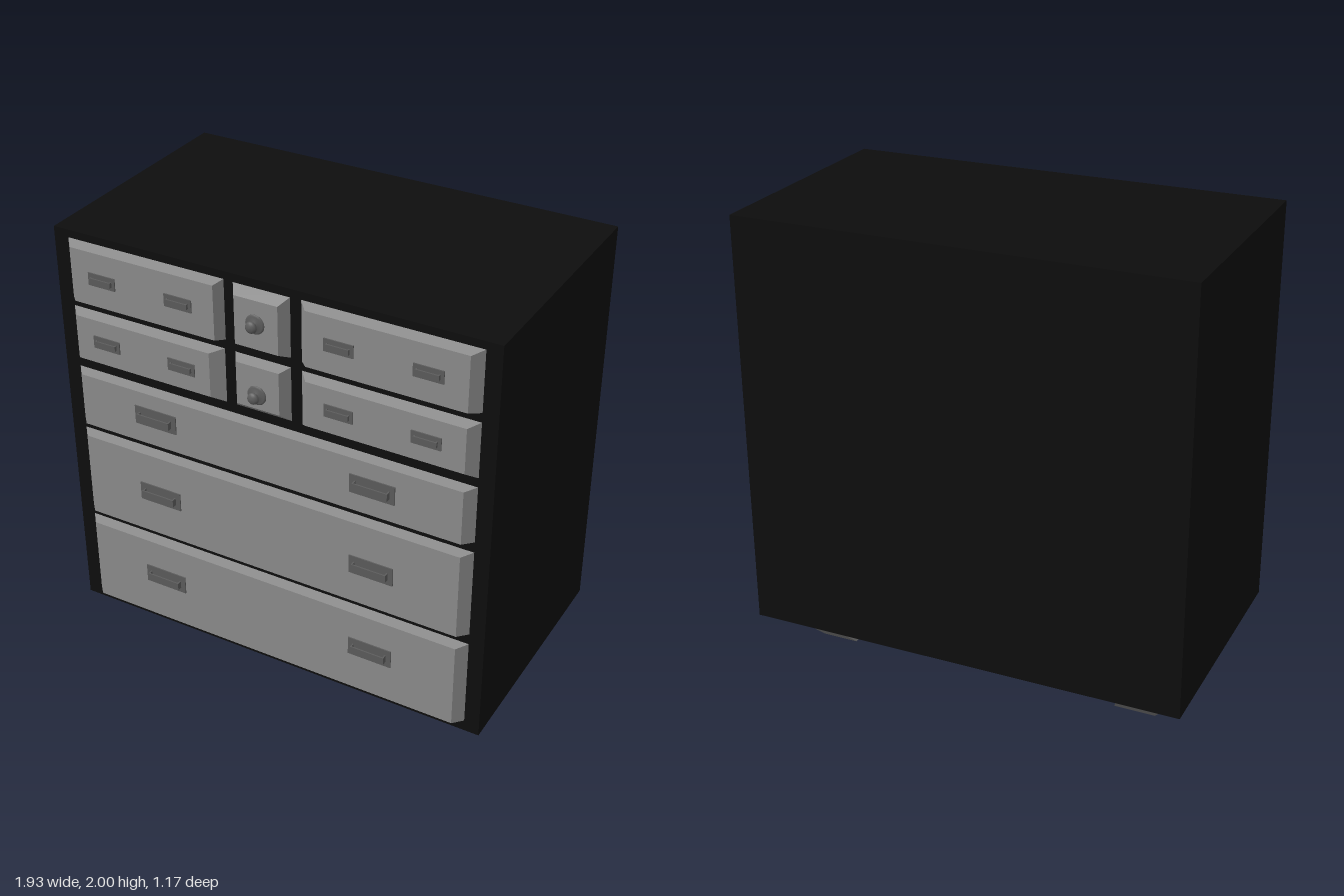
import * as THREE from 'three';

const BODY_FRONT = 0.495, DRAWER_FRONT = 0.542;
const paint = (color) => new THREE.MeshStandardMaterial({ color });
const bodyMat = paint(0x0d0d0d);
const drawerMat = paint(0x8c8c8c);
const metalMat = paint(0x5c5c5c);
const legMat = paint(0x747474);

function part(name, geometry, material, parent) {
  const mesh = new THREE.Mesh(geometry, material);
  mesh.name = name;
  parent.add(mesh);
  return mesh;
}

function box(x0, x1, y0, y1, z0, z1) {
  return new THREE.BoxGeometry(x1 - x0, y1 - y0, z1 - z0)
    .translate((x0 + x1) / 2, (y0 + y1) / 2, (z0 + z1) / 2);
}

// Six-sided block whose corners are placed by a rule on the signs of a unit box
function taperedBlock(rule) {
  const geometry = new THREE.BoxGeometry(1, 1, 1);
  const p = geometry.attributes.position;
  for (let i = 0; i < p.count; i++) {
    p.setXYZ(i, ...rule(p.getX(i) > 0 ? 1 : 0, p.getY(i) > 0 ? 1 : 0, p.getZ(i) > 0 ? 1 : 0));
  }
  geometry.computeVertexNormals();
  return geometry;
}

// Drawer front with bevelled rim; outer and inner are [x0, x1, y0, y1]
function addDrawer(group, name, outer, inner) {
  part(name, taperedBlock((x, y, z) => {
    const r = z ? inner : outer;
    return [r[x], r[2 + y], z ? DRAWER_FRONT : BODY_FRONT - 0.01];
  }), drawerMat, group);
}

// Thin back plate carrying a flat bar on two posts
function addPull(group, x, y, w, h, depth) {
  const pull = new THREE.Group();
  pull.name = 'drawerPull';
  pull.position.set(x, y, DRAWER_FRONT);
  const bw = w * 0.39, bh = h * 0.2, t = 0.006;
  part('pullPlate', box(-w / 2, w / 2, -h / 2, h / 2, -0.002, 0.005), metalMat, pull);
  part('pullBar', box(-bw, bw, -bh, bh, depth - t, depth), metalMat, pull);
  for (const s of [-1, 1]) {
    const c = s * (bw - t / 2);
    part('pullPost', box(c - t / 2, c + t / 2, -bh, bh, 0.003, depth - t), metalMat, pull);
  }
  group.add(pull);
}

// Round knob: base disc, narrow stem and rounded head
function addKnob(group, x, y) {
  const profile = [
    [0, -0.002], [0.041, -0.002], [0.041, 0.003], [0.034, 0.007], [0.012, 0.009],
    [0.009, 0.017], [0.02, 0.021], [0.025, 0.028], [0.022, 0.036], [0.012, 0.042], [0, 0.043],
  ].map(([r, h]) => new THREE.Vector2(r, h));
  const knob = part('knob', new THREE.LatheGeometry(profile, 20), metalMat, group);
  knob.rotation.x = Math.PI / 2;
  knob.position.set(x, y, DRAWER_FRONT);
}

// Splayed leg; foot and top are [x0, x1, z0, z1]
function addLeg(group, name, foot, top) {
  part(name, taperedBlock((x, y, z) => {
    const r = y ? top : foot;
    return [r[x], y ? 0.195 : 0, r[2 + z]];
  }), legMat, group);
}

export function createModel() {
  const group = new THREE.Group();
  group.name = 'chestOfDrawers';

  part('cabinet', box(-0.965, 0.965, 0.19, 2, -0.585, BODY_FRONT), bodyMat, group);

  // Two upper rows: wide, small square and wide drawers
  const upper = [
    { y: [1.705, 1.97], wide: [1.72, 1.955], small: [1.733, 1.94], right: -0.2, pull: 1.84, knob: 1.841 },
    { y: [1.42, 1.67], wide: [1.46, 1.655], small: [1.47, 1.655], right: -0.23, pull: 1.558, knob: 1.532 },
  ];
  for (const row of upper) {
    addDrawer(group, 'upperRightDrawer', [-0.907, -0.175, ...row.y], [-0.855, row.right, ...row.wide]);
    addDrawer(group, 'smallDrawer', [-0.145, 0.115, ...row.y], [-0.108, 0.082, ...row.small]);
    addDrawer(group, 'upperLeftDrawer', [0.148, 0.907, ...row.y], [0.198, 0.863, ...row.wide]);
    for (const x of [-0.714, -0.36, 0.34, 0.705]) addPull(group, x, row.pull, 0.124, 0.054, 0.017);
    addKnob(group, -0.016, row.knob);
  }

  // Three full-width drawers, with pull heights for each side
  const lower = [
    { y: [1.135, 1.388], pulls: [1.272, 1.267] },
    { y: [0.69, 1.09], pulls: [0.897, 0.882] },
    { y: [0.24, 0.643], pulls: [0.465, 0.465] },
  ];
  for (const { y, pulls } of lower) {
    addDrawer(group, 'wideDrawer', [-0.907, 0.907, ...y], [-0.857, 0.863, y[0] + 0.008, y[1] - 0.008]);
    addPull(group, -0.5, pulls[0], 0.195, 0.083, 0.027);
    addPull(group, 0.487, pulls[1], 0.195, 0.083, 0.027);
  }

  // Legs lean inward towards the floor
  const sides = {
    Right: { foot: [-0.78, -0.6], top: [-0.91, -0.69] },
    Left: { foot: [0.63, 0.79], top: [0.73, 0.91] },
  };
  const ends = {
    front: { foot: [0.14, 0.235], top: [0.26, 0.425] },
    back: { foot: [-0.34, -0.235], top: [-0.53, -0.355] },
  };
  for (const [side, s] of Object.entries(sides)) {
    for (const [end, e] of Object.entries(ends)) {
      addLeg(group, `${end}${side}Leg`, [...s.foot, ...e.foot], [...s.top, ...e.top]);
    }
  }
  return group;
}
